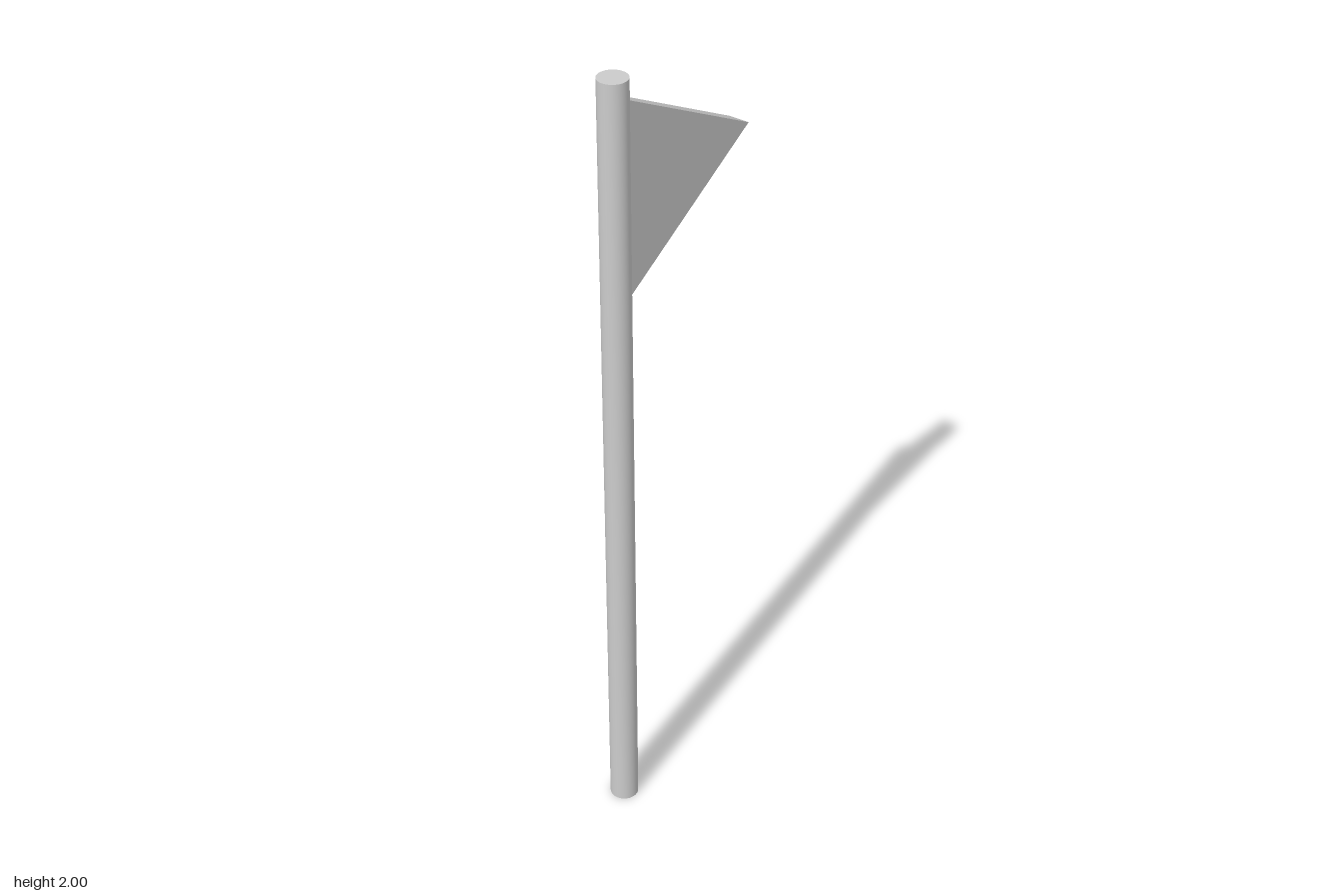
import * as THREE from 'three';

export function createModel() {
  const group = new THREE.Group();
  const material = new THREE.MeshStandardMaterial({ color: 0xcccccc });
  const radius = 0.035, poleZ = 0.2125, thickness = 0.052;

  // Upright round pole
  const pole = new THREE.Mesh(new THREE.CylinderGeometry(radius, radius, 2, 48), material);
  pole.name = 'pole';
  pole.position.set(0, 1, poleZ);
  group.add(pole);

  // Thick triangular pennant, its base sunk into the pole and its tip pointing back
  const shape = new THREE.Shape([
    new THREE.Vector2(0, -0.248),
    new THREE.Vector2(0.46, 0),
    new THREE.Vector2(0, 0.248),
  ]);
  const geometry = new THREE.ExtrudeGeometry(shape, { depth: thickness, bevelEnabled: false });
  geometry.translate(0, 0, -thickness / 2);
  geometry.rotateY(Math.PI / 2);
  const pennant = new THREE.Mesh(geometry, material);
  pennant.name = 'pennant';
  pennant.position.set(0, 1.71, poleZ);
  group.add(pennant);

  return group;
}
